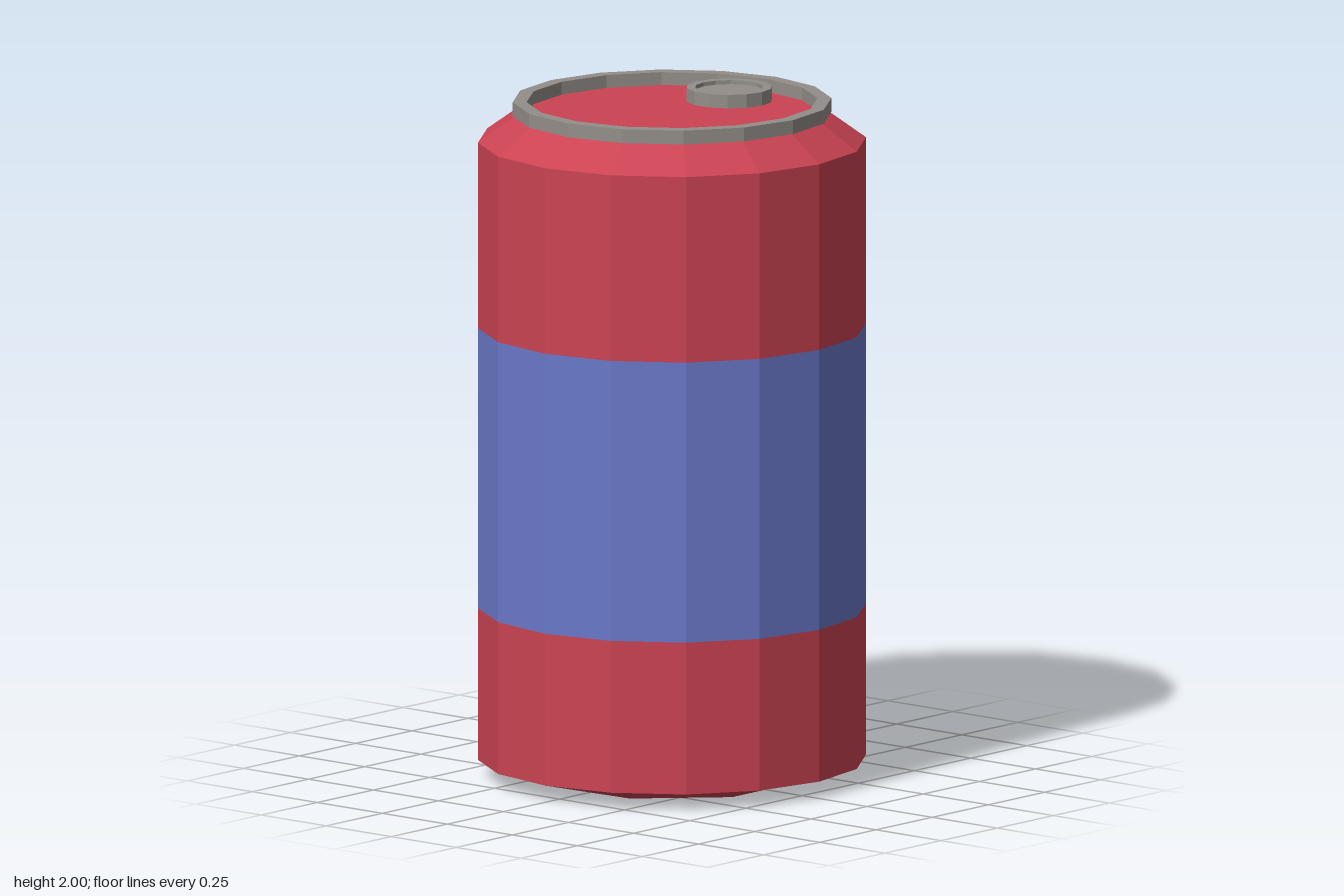
import * as THREE from 'three';

const SIDES = 16, R = 0.566;
const paint = (color) => new THREE.MeshStandardMaterial({ color, flatShading: true });

// Faceted solid of revolution; profile is listed as [radius, y]
function turned(name, profile, material, sides = SIDES) {
  const points = profile.map(([r, y]) => new THREE.Vector2(r, y));
  const mesh = new THREE.Mesh(new THREE.LatheGeometry(points, sides), material);
  mesh.name = name;
  return mesh;
}

export function createModel() {
  const can = new THREE.Group();
  can.name = 'drinkCan';
  const red = paint(0xcb4353), blue = paint(0x6a78c8), grey = paint(0x938e89);

  // Lower body: 16-sided wall tapering to an eight-sided base
  const lower = turned('lowerBody', [[0, 0], [0.39, 0], [R, 0.05], [R, 0.5]], red);
  const pos = lower.geometry.attributes.position;
  const perColumn = 4;
  for (let i = 0; i <= SIDES; i += 2) {
    // Pull every other base corner onto the octagon's edge
    const v = i * perColumn + 1;
    const k = Math.cos(Math.PI / 8);
    pos.setXYZ(v, pos.getX(v) * k, 0, pos.getZ(v) * k);
  }
  can.add(lower);

  // Label band, then upper body with shoulder and lid
  can.add(turned('labelBand', [[R, 0.5], [R, 1.33]], blue));
  can.add(turned('upperBody', [[R, 1.33], [R, 1.88], [0.455, 1.96], [0, 1.96]], red));

  // Raised rim around the lid
  can.add(turned('rim', [[0.424, 1.957], [0.465, 1.957], [0.465, 1.998], [0.424, 1.998], [0.424, 1.957]], grey));

  // Round opening tab with a recessed centre
  const tab = turned('openingTab', [[0.126, 1.957], [0.126, 2], [0.1, 2], [0.1, 1.988], [0, 1.988]], grey, 14);
  tab.position.x = 0.255;
  can.add(tab);

  return can;
}
